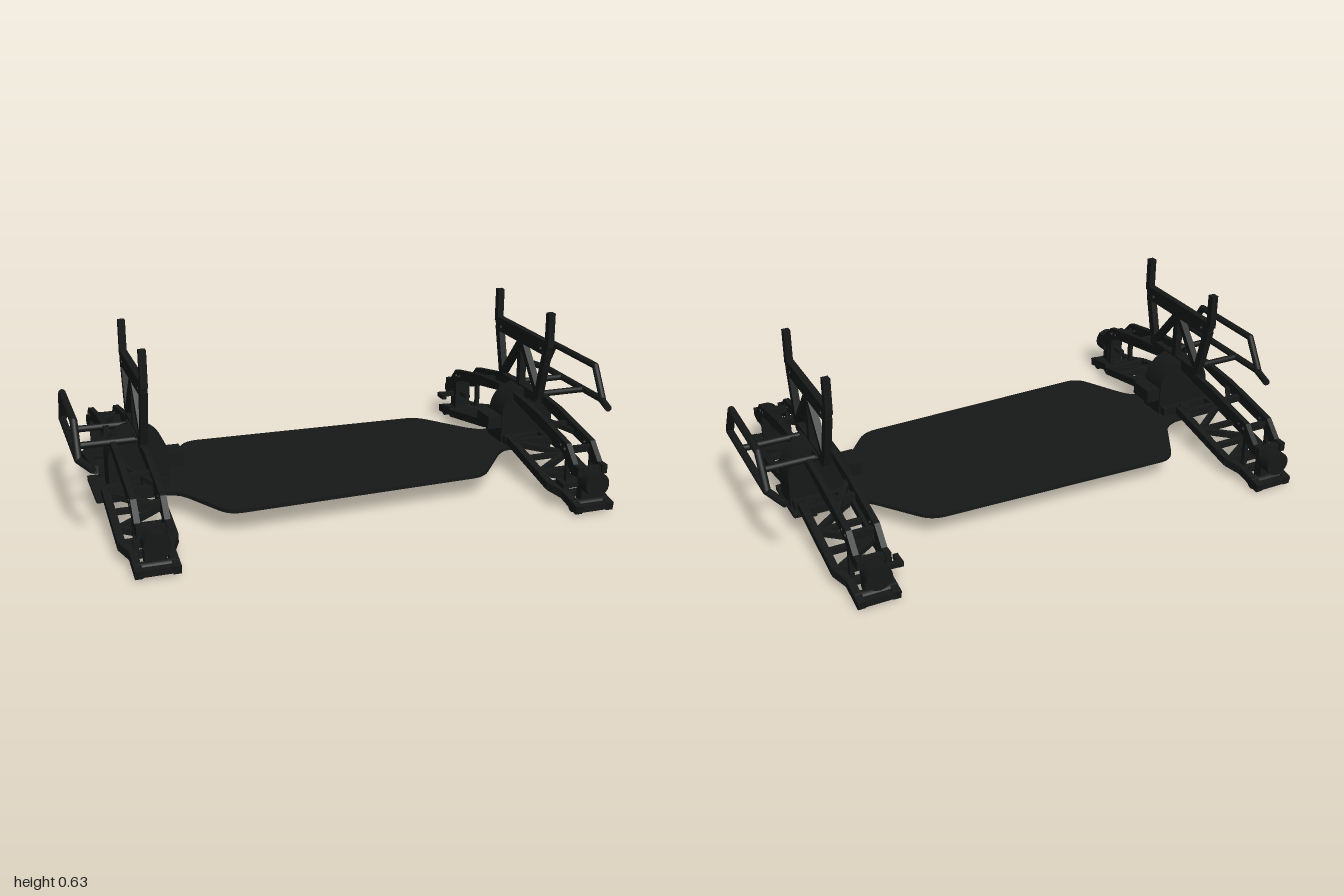
import * as THREE from 'three';

const mat = new THREE.MeshStandardMaterial({ color: 0x161818 });
const V = (x, y, z) => new THREE.Vector3(x, y, z);

function add(parent, name, geo, x = 0, y = 0, z = 0) {
  const m = new THREE.Mesh(geo, mat);
  m.name = name;
  m.position.set(x, y, z);
  parent.add(m);
  return m;
}
const box = (p, name, w, h, d, x, y, z) => add(p, name, new THREE.BoxGeometry(w, h, d), x, y, z);

// Rectangular bar between two points
function bar(p, name, a, b, w, h) {
  const c = a.clone().add(b).multiplyScalar(0.5);
  const m = add(p, name, new THREE.BoxGeometry(w, h, a.distanceTo(b)), c.x, c.y, c.z);
  m.lookAt(b);
}

// Round rod through a list of points, with ball joints at the bends
function rod(p, name, pts, r) {
  for (let i = 0; i < pts.length - 1; i++) {
    const a = pts[i], b = pts[i + 1], c = a.clone().add(b).multiplyScalar(0.5);
    const g = new THREE.CylinderGeometry(r, r, a.distanceTo(b), 16).rotateX(Math.PI / 2);
    add(p, name, g, c.x, c.y, c.z).lookAt(b);
    if (i > 0) add(p, name + 'Joint', new THREE.SphereGeometry(r, 16, 10), a.x, a.y, a.z);
  }
}

// Closed outline with rounded corners; each point is [x, y, cornerRadius]
function roundedShape(pts) {
  const s = new THREE.Shape(), n = pts.length;
  pts.forEach(([x, y, r], i) => {
    const c = new THREE.Vector2(x, y);
    const toward = ([px, py]) => c.clone().add(new THREE.Vector2(px - x, py - y).setLength(r));
    const a = toward(pts[(i + n - 1) % n]), b = toward(pts[(i + 1) % n]);
    if (i === 0) s.moveTo(a.x, a.y); else s.lineTo(a.x, a.y);
    s.quadraticCurveTo(x, y, b.x, b.y);
  });
  s.closePath();
  return s;
}

// Plate drawn in (z, y), centred on its thickness along x; side = -1 mirrors z
function sidePlate(points, holes, thick, side = 1) {
  const s = new THREE.Shape(points.map(([z, y]) => new THREE.Vector2(z, y)));
  for (const [z, y, r] of holes) s.holes.push(new THREE.Path().absarc(z, y, r, 0, Math.PI * 2, true));
  return new THREE.ExtrudeGeometry(s, { depth: thick, bevelEnabled: false, curveSegments: 10 })
    .translate(0, 0, -thick / 2).rotateY(-side * Math.PI / 2);
}

// Flat main plate with narrow necks at both ends
function chassisPlate(root) {
  const half = [[-0.92, 0.12, 0.01], [-0.66, 0.12, 0.05], [-0.62, 0.16, 0.03], [-0.51, 0.36, 0.05],
    [0.45, 0.33, 0.05], [0.6, 0.14, 0.03], [0.64, 0.11, 0.02], [0.87, 0.11, 0.01]];
  const pts = [...half, ...half.slice().reverse().map(([x, y, r]) => [x, -y, r])].reverse();
  const g = new THREE.ExtrudeGeometry(roundedShape(pts), { depth: 0.013, bevelEnabled: false, curveSegments: 6 });
  add(root, 'chassisPlate', g.rotateX(-Math.PI / 2), 0, 0.086, 0);
}

// Arched gearbox with its input housing
function gearbox(p, x, s) {
  const sh = new THREE.Shape();
  sh.moveTo(-0.107, 0.095);
  sh.lineTo(0.107, 0.095);
  sh.lineTo(0.107, 0.205);
  sh.absarc(0, 0.205, 0.107, 0, Math.PI, false);
  sh.closePath();
  const g = new THREE.ExtrudeGeometry(sh, { depth: 0.11, bevelEnabled: false, curveSegments: 24 });
  add(p, 'gearbox', g, x, 0, -0.055);
  box(p, 'inputHousing', 0.1, 0.05, 0.1, s * 0.645, 0.183, 0);
  box(p, 'gearboxFoot', 0.2, 0.035, 0.16, x, 0.112, 0);
}

// Braced tower with two uprights
function shockTower(p, x) {
  add(p, 'towerTopBar', sidePlate([[-0.203, 0.48], [0.203, 0.48], [0.22, 0.535], [-0.22, 0.535]],
    [[-0.165, 0.503, 0.008], [0.165, 0.503, 0.008]], 0.025), x);
  bar(p, 'towerPost', V(x, 0.29, 0), V(x, 0.49, 0), 0.026, 0.026);
  box(p, 'towerBase', 0.025, 0.035, 0.3, x, 0.3, 0);
  for (const k of [-1, 1]) {
    box(p, 'towerUpright', 0.025, 0.13, 0.026, x, 0.58, k * 0.208);
    bar(p, 'towerLeg', V(x, 0.5, k * 0.198), V(x, 0.3, k * 0.145), 0.025, 0.03);
    bar(p, 'towerBrace', V(x, 0.48, k * 0.01), V(x, 0.325, k * 0.14), 0.025, 0.024);
  }
}

// Bent lower tube, raised hoop and the two rods that carry them
function bumper(p, x, s) {
  const o = s * 0.982;
  rod(p, 'bumperTube', [V(s * 0.95, 0.292, -0.322), V(o, 0.292, -0.22), V(o, 0.292, 0.22), V(s * 0.95, 0.292, 0.322)], 0.013);
  rod(p, 'bumperHoop', [V(o, 0.292, -0.23), V(o, 0.408, -0.16), V(o, 0.408, 0.16), V(o, 0.292, 0.23)], 0.013);
  for (const k of [-1, 1]) rod(p, 'bumperRod', [V(x, 0.292, k * 0.085), V(o, 0.292, k * 0.085)], 0.012);
  box(p, 'bumperRodMount', 0.03, 0.03, 0.19, x, 0.292, 0);
}

// Latticed lower arm sloping down to the wheel
function lowerArm(p, x, k) {
  const P = (dx, z) => V(x + dx, 0.125 - (z - 0.1) * 0.19, k * z);
  const steps = [[0.087, 0.1], [0.087, 0.43], [0.061, 0.49], [0.061, 0.6]];
  for (const e of [-1, 1]) {
    for (let i = 0; i < 3; i++) {
      bar(p, 'lowerArmRail', P(e * steps[i][0], steps[i][1]), P(e * steps[i + 1][0], steps[i + 1][1]), 0.026, 0.03);
    }
    box(p, 'hingeBlock', 0.035, 0.055, 0.04, x + e * 0.06, 0.112, k * 0.105);
  }
  for (const [z, w, d] of [[0.13, 0.087, 0.03], [0.24, 0.087, 0.016], [0.34, 0.087, 0.018], [0.43, 0.087, 0.03], [0.49, 0.061, 0.022], [0.588, 0.061, 0.024]]) {
    bar(p, 'lowerArmCrossbar', P(-w, z), P(w, z), 0.024, d);
  }
  const zig = [0.13, 0.24, 0.34, 0.43];
  for (let i = 0; i < 3; i++) {
    const e = i % 2 ? 1 : -1;
    bar(p, 'lowerArmBrace', P(e * 0.08, zig[i]), P(-e * 0.08, zig[i + 1]), 0.02, 0.022);
  }
  rod(p, 'outerHingePin', [V(x - 0.07, 0.032, k * 0.558), V(x + 0.07, 0.032, k * 0.558)], 0.022);
}

// Pair of cranked upper links
function upperArm(p, x, k) {
  const profile = [[0.06, 0.272], [0.42, 0.207], [0.47, 0.185], [0.525, 0.137], [0.57, 0.145], [0.57, 0.178],
    [0.535, 0.178], [0.478, 0.237], [0.24, 0.283], [0.06, 0.3]];
  for (const e of [-1, 1]) {
    add(p, 'upperArmLink', sidePlate(profile, [[0.468, 0.217, 0.009], [0.438, 0.222, 0.007]], 0.02, k), x + e * 0.048);
    bar(p, 'uprightStrut', V(x + e * 0.048, 0.06, k * 0.478), V(x + e * 0.048, 0.195, k * 0.478), 0.016, 0.016);
  }
  for (const [y, z] of [[0.243, 0.3], [0.205, 0.46], [0.16, 0.55]]) box(p, 'upperArmCrossbar', 0.1, 0.022, 0.022, x, y, k * z);
  bar(p, 'upperArmBrace', V(x - 0.045, 0.255, k * 0.22), V(x + 0.045, 0.23, k * 0.36), 0.016, 0.018);
}

// Wheel hub, stub axle and carrier
function hub(p, x, k, steers) {
  const y = 0.122;
  const g = new THREE.CylinderGeometry(0.045, 0.045, 0.06, 24).rotateX(Math.PI / 2);
  add(p, 'wheelHub', g, x, y, k * 0.58);
  rod(p, 'stubAxle', [V(x, y - 0.008, k * 0.47), V(x, y - 0.008, k * 0.56)], 0.012);
  box(p, 'hubCarrier', 0.07, 0.12, 0.035, x, 0.105, k * 0.545);
  if (steers) {
    bar(p, 'steeringArm', V(x, 0.11, k * 0.54), V(x - 0.095, 0.11, k * 0.545), 0.018, 0.018);
    bar(p, 'steeringArmTip', V(x - 0.095, 0.11, k * 0.555), V(x - 0.095, 0.11, k * 0.5), 0.018, 0.018);
  }
}

export function createModel() {
  const root = new THREE.Group();
  root.name = 'buggyChassis';
  chassisPlate(root);
  for (const s of [-1, 1]) {
    const end = new THREE.Group();
    end.name = s > 0 ? 'steeringEnd' : 'drivenEnd';
    root.add(end);
    const x = s * 0.757, armX = s > 0 ? 0.75 : -0.8;
    gearbox(end, x, s);
    shockTower(end, s * 0.752);
    bumper(end, x, s);
    for (const k of [-1, 1]) {
      lowerArm(end, armX, k);
      upperArm(end, armX, k);
      hub(end, armX, k, s > 0);
    }
  }
  return root;
}
